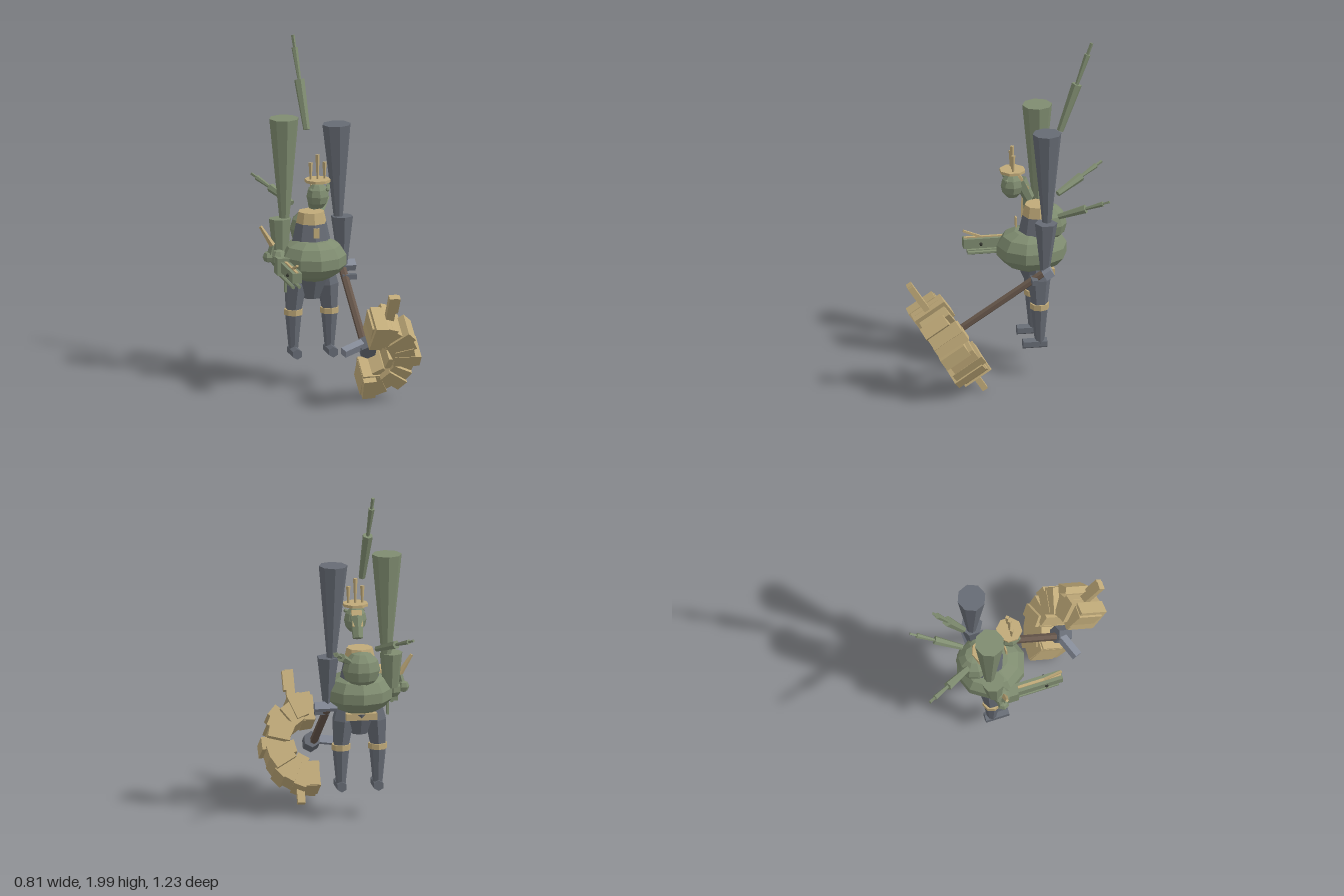
import * as THREE from 'three';

const mat = (name, color) => {
  const m = new THREE.MeshStandardMaterial({ color, flatShading: true });
  m.name = name;
  return m;
};

export function createModel() {
  const green = mat('olive green', 0x7f8c70);
  const grey = mat('slate grey', 0x666b74);
  const steel = mat('light steel', 0x858b98);
  const tan = mat('tan', 0xc0aa79);
  const brown = mat('dark brown', 0x67574b);
  const dark = mat('near black', 0x34372f);

  const model = new THREE.Group();
  model.name = 'steamWalker';
  const V = (p) => new THREE.Vector3(...p);
  const UP = new THREE.Vector3(0, 1, 0);

  const add = (name, geo, material, pos = [0, 0, 0], parent = model) => {
    const mesh = new THREE.Mesh(geo, material);
    mesh.name = name;
    mesh.position.set(...pos);
    parent.add(mesh);
    return mesh;
  };
  const box = (name, size, pos, material, parent) =>
    add(name, new THREE.BoxGeometry(...size), material, pos, parent);
  const ball = (name, r, pos, scale, material, w = 10, h = 6) => {
    const m = add(name, new THREE.SphereGeometry(r, w, h), material, pos);
    m.scale.set(...scale);
    return m;
  };
  // Tapered rod from point a (radius ra) to point b (radius rb)
  const rod = (name, a, b, ra, rb, material, sides = 6) => {
    const d = V(b).sub(V(a));
    const m = add(name, new THREE.CylinderGeometry(rb, ra, d.length(), sides), material);
    m.position.copy(V(a)).addScaledVector(d, 0.5);
    m.quaternion.setFromUnitVectors(UP, d.normalize());
    return m;
  };
  // Box laid along a line from a to b
  const bar = (name, a, b, w, t, material) => {
    const d = V(b).sub(V(a));
    const m = box(name, [w, d.length(), t], [0, 0, 0], material);
    m.position.copy(V(a)).addScaledVector(d, 0.5);
    m.quaternion.setFromUnitVectors(UP, d.normalize());
    return m;
  };

  const X = -0.09; // body centre line

  // Body
  const bellyProfile = [[0.001, 0.637], [0.08, 0.637], [0.155, 0.675], [0.2, 0.725],
    [0.2, 0.785], [0.165, 0.84], [0.1, 0.868], [0.001, 0.872]]
    .map(([r, y]) => new THREE.Vector2(r, y));
  const belly = add('belly', new THREE.LatheGeometry(bellyProfile, 10), green, [X, 0, -0.155]);
  belly.scale.set(0.97, 1, 1.02);
  ball('backBoiler', 0.11, [X, 0.915, -0.255], [1, 1, 0.95], green, 10, 6);
  rod('torso', [X, 0.84, -0.19], [X, 0.965, -0.19], 0.118, 0.09, grey, 8);
  rod('collar', [X, 0.965, -0.19], [X, 1.03, -0.19], 0.09, 0.076, tan, 8);
  box('chestPlate', [0.035, 0.058, 0.008], [X, 0.927, -0.063], tan);
  rod('hips', [X, 0.52, -0.18], [X, 0.65, -0.18], 0.05, 0.105, grey, 8);
  box('rearBelt', [0.18, 0.04, 0.05], [X, 0.635, -0.25], tan);

  // Head and neck
  ball('head', 0.066, [X, 1.157, -0.04], [1, 1.2, 1], green, 8, 6);
  bar('headStrap', [X, 1.215, -0.07], [X, 1.13, -0.122], 0.06, 0.035, tan);
  rod('neck', [X, 1.185, -0.085], [X, 1.07, -0.14], 0.042, 0.032, green, 6);
  for (const s of [-1, 1]) ball('eye', 0.012, [X + s * 0.05, 1.2, 0], [1, 1, 1], green, 6, 4);

  // Crown
  add('crownBrim', new THREE.CylinderGeometry(0.076, 0.076, 0.016, 8), tan, [X, 1.248, -0.042]).rotation.y = Math.PI / 8;
  [[-0.041, 0.1], [0, 0.145], [0.041, 0.1]].forEach(([dx, h]) =>
    add('crownSpike', new THREE.CylinderGeometry(0.013, 0.006, h, 4), tan, [X + dx, 1.255 + h / 2, -0.04]));

  // Chimneys and upper arms
  rod('rightChimney', [-0.243, 0.97, -0.213], [-0.246, 1.585, -0.213], 0.028, 0.087, green, 8);
  rod('leftChimney', [0.078, 0.97, -0.215], [0.068, 1.53, -0.218], 0.026, 0.084, grey, 8);
  rod('rightUpperArm', [-0.272, 0.79, -0.19], [-0.273, 0.995, -0.2], 0.046, 0.066, green, 8);
  rod('leftUpperArm', [0.1, 0.67, -0.2], [0.098, 0.985, -0.208], 0.024, 0.066, grey, 6);

  // Aerials in three shrinking pieces
  const aerial = (name, a, b, radius) => {
    const at = (t) => V(a).lerp(V(b), t).toArray();
    rod(name + 'Base', at(0), at(0.53), radius * 0.65, radius, green, 6);
    rod(name + 'Middle', at(0.53), at(0.87), radius * 0.35, radius * 0.6, green, 6);
    rod(name + 'Tip', at(0.87), at(1), radius * 0.3, radius * 0.35, green, 4);
  };
  aerial('centreAerial', [-0.083, 1.48, -0.32], [-0.117, 1.998, -0.51], 0.031);
  aerial('rightAerial', [-0.17, 1.05, -0.32], [-0.338, 1.165, -0.605], 0.026);
  aerial('leftAerial', [-0.01, 0.975, -0.3], [0.12, 1.1, -0.575], 0.026);

  // Legs
  for (const [x, s] of [[-0.197, -1], [0.017, 1]]) {
    const z = -0.183;
    rod('thigh', [x, 0.45, z], [x - s * 0.012, 0.6, z], 0.047, 0.066, grey, 6);
    rod('upperThigh', [x - s * 0.012, 0.6, z], [x - s * 0.02, 0.7, z], 0.066, 0.045, grey, 6);
    rod('kneeBand', [x, 0.425, z], [x, 0.458, z], 0.055, 0.055, tan, 8);
    rod('shin', [x, 0.2, z], [x, 0.43, z], 0.026, 0.049, grey, 8);
    rod('foot', [x, 0.209, -0.225], [x, 0.209, -0.085], 0.031, 0.031, grey, 6);
  }

  // Right forearm and gun
  ball('rightElbow', 0.055, [-0.29, 0.77, -0.155], [1, 1, 1], green, 8, 5);
  ball('rightKnuckle', 0.035, [-0.35, 0.78, -0.165], [1, 1, 1], green, 6, 4);
  rod('elbowSpike', [-0.33, 0.85, -0.15], [-0.4, 0.965, -0.157], 0.018, 0.01, tan, 4);
  rod('elbowPin', [-0.35, 0.77, -0.16], [-0.33, 0.86, -0.15], 0.02, 0.014, green, 4);
  box('gunGrip', [0.095, 0.1, 0.08], [-0.275, 0.74, -0.1], green);
  box('gunBody', [0.056, 0.058, 0.28], [-0.275, 0.738, 0.075], green);
  bar('gunSight', [-0.275, 0.77, 0.11], [-0.275, 0.812, 0.215], 0.014, 0.012, tan);
  box('gunStrip', [0.016, 0.008, 0.26], [-0.275, 0.77, 0.08], tan);
  for (const s of [-1, 1]) {
    rod('lowerBarrel', [-0.275 + s * 0.018, 0.68, -0.1], [-0.275 + s * 0.018, 0.68, 0.19], 0.011, 0.011, green, 6);
    ball('gunPin', 0.011, [-0.275 + s * 0.031, 0.735, 0.115], [1, 1, 1], dark, 6, 4);
  }
  box('gunTrigger', [0.012, 0.1, 0.02], [-0.275, 0.64, -0.06], green);

  // Left hand and weapon shaft
  box('leftHand', [0.085, 0.03, 0.035], [0.122, 0.64, -0.135], grey);
  rod('shaft', [0.097, 0.68, -0.2], [0.097, 0.335, 0.33], 0.023, 0.023, brown, 6);
  const pommel = box('shaftPommel', [0.13, 0.045, 0.052], [0.112, 0.69, -0.212], steel);
  pommel.rotation.x = 0.58;
  const hub = add('shaftHub', new THREE.CylinderGeometry(0.05, 0.05, 0.09, 6), grey, [0.107, 0.338, 0.338]);
  hub.rotation.x = 0.58 + Math.PI / 2;
  bar('hubSpike', [0.1, 0.36, 0.325], [-0.045, 0.325, 0.385], 0.045, 0.045, steel);

  // Half-ring weapon head of fanned blocks
  const ring = new THREE.Group();
  ring.name = 'weaponHead';
  ring.position.set(0.095, 0.315, 0.36);
  ring.rotation.x = 0.58;
  model.add(ring);
  const count = 13;
  for (let i = 0; i < count; i++) {
    const a = Math.PI * (0.46 - 0.92 * i / (count - 1));
    const r = 0.212 + 0.014 * Math.sin(i * 2.4);
    const block = box('ringBlock', [0.15 + 0.02 * Math.cos(i * 1.9), 0.075, 0.18 + 0.025 * Math.sin(i * 1.7)],
      [Math.cos(a) * r, Math.sin(a) * r, 0.015 * Math.cos(i * 2.1)], tan, ring);
    block.rotation.set(0, 0, a + 0.12 * Math.sin(i * 3.1));
  }
  for (const s of [1, -1])
    box('ringEndBlock', [0.12, 0.15, 0.16], [0.045, s * 0.2, 0], tan, ring);
  box('upperProng', [0.05, 0.2, 0.035], [0.1, 0.355, 0], tan, ring);
  box('upperSideProng', [0.03, 0.12, 0.035], [0.125, 0.39, 0], tan, ring);
  box('lowerProng', [0.045, 0.16, 0.035], [0.095, -0.275, 0], tan, ring);

  return model;
}
